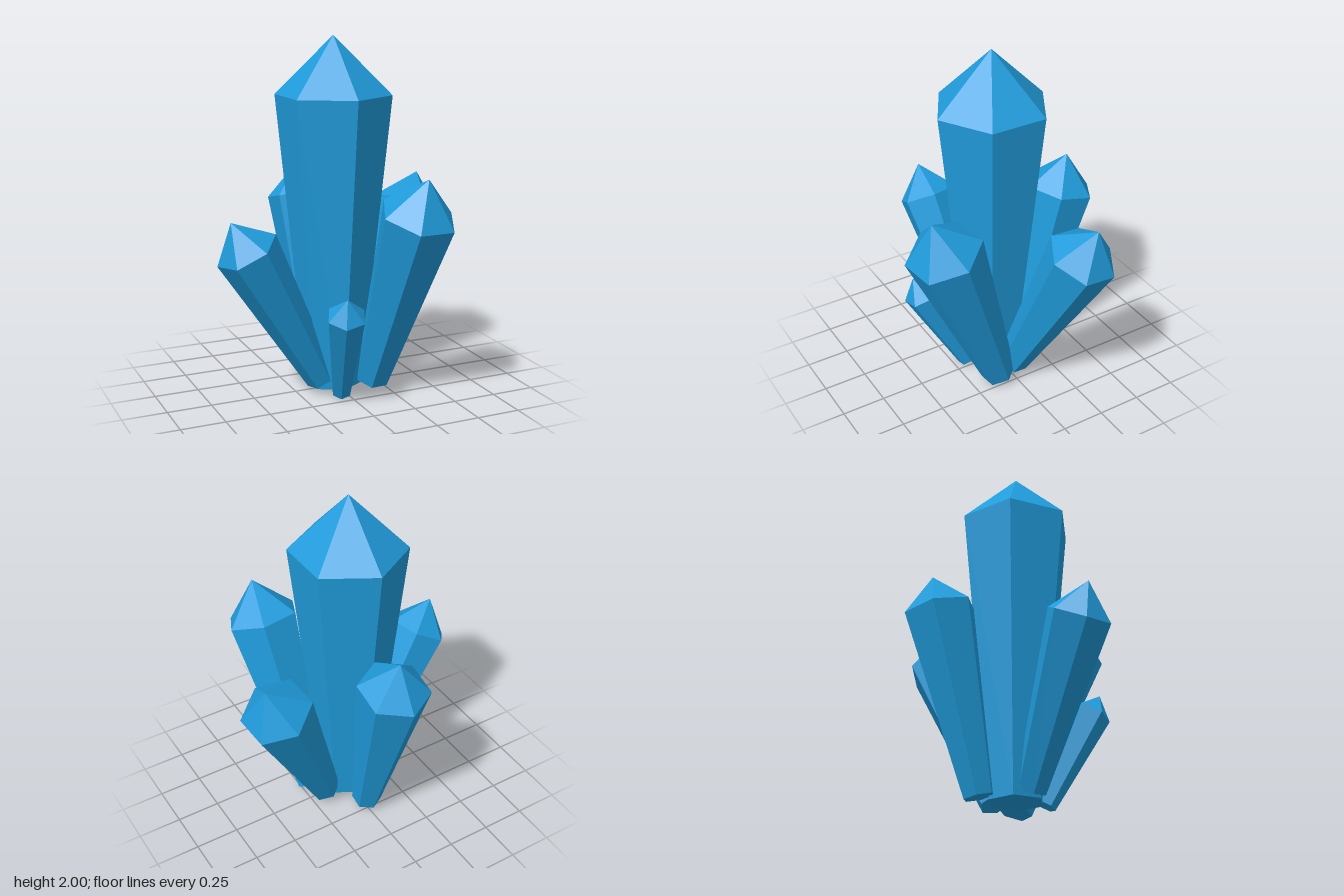
import * as THREE from 'three';

const material = new THREE.MeshStandardMaterial({ color: 0x209cdc, flatShading: true });

// Six-sided crystal that widens from its base to a shoulder, then closes in a point.
// base, tip: ends of the axis; shoulder: height share of the widest ring;
// corner: plan position [x, z] of one shoulder corner, which sets the twist.
function crystal({ name, base, tip, shoulder, baseRadius, radius, corner }) {
  const start = new THREE.Vector3(...base);
  const end = new THREE.Vector3(...tip);
  const length = start.distanceTo(end);
  const profile = [
    [0, 0], [baseRadius, 0], [radius, shoulder * length], [0, length],
  ].map(([r, y]) => new THREE.Vector2(r, y));
  const geometry = new THREE.LatheGeometry(profile, 6);

  // Local y follows the axis, local z points at the given corner
  const up = end.clone().sub(start).normalize();
  const centre = start.clone().lerp(end, shoulder);
  const dx = corner[0] - centre.x;
  const dz = corner[1] - centre.z;
  const out = new THREE.Vector3(dx, -(dx * up.x + dz * up.z) / up.y, dz).normalize();
  const side = new THREE.Vector3().crossVectors(up, out);

  const mesh = new THREE.Mesh(geometry, material);
  mesh.name = name;
  mesh.quaternion.setFromRotationMatrix(new THREE.Matrix4().makeBasis(side, up, out));
  mesh.position.copy(start);
  return mesh;
}

export function createModel() {
  const group = new THREE.Group();
  group.name = 'crystalCluster';
  const crystals = [
    // Tall upright centre
    { name: 'mainCrystal', base: [-0.02, 0.03, 0.01], tip: [-0.02, 2, 0.01],
      shoulder: 0.837, baseRadius: 0.155, radius: 0.323, corner: [-0.02, 0.33] },
    // Leaning crystals around it
    { name: 'rightCrystal', base: [-0.115, 0.075, 0.05], tip: [-0.66, 1.05, 0.13],
      shoulder: 0.835, baseRadius: 0.085, radius: 0.177, corner: [-0.72, 0.08] },
    { name: 'leftCrystal', base: [0.165, 0.07, -0.025], tip: [0.637, 1.165, -0.243],
      shoulder: 0.83, baseRadius: 0.09, radius: 0.2, corner: [0.715, -0.12] },
    { name: 'frontCrystal', base: [0.185, 0.05, 0.09], tip: [0.285, 1.28, 0.55],
      shoulder: 0.832, baseRadius: 0.1, radius: 0.215, corner: [0.48, 0.445] },
    { name: 'backCrystal', base: [-0.02, 0.035, -0.2], tip: [-0.025, 1.24, -0.492],
      shoulder: 0.84, baseRadius: 0.085, radius: 0.202, corner: [-0.02, -0.645] },
    { name: 'smallCrystal', base: [-0.042, 0.025, 0.17], tip: [-0.137, 0.655, 0.46],
      shoulder: 0.835, baseRadius: 0.055, radius: 0.11, corner: [-0.23, 0.42] },
  ];
  for (const spec of crystals) group.add(crystal(spec));
  return group;
}
